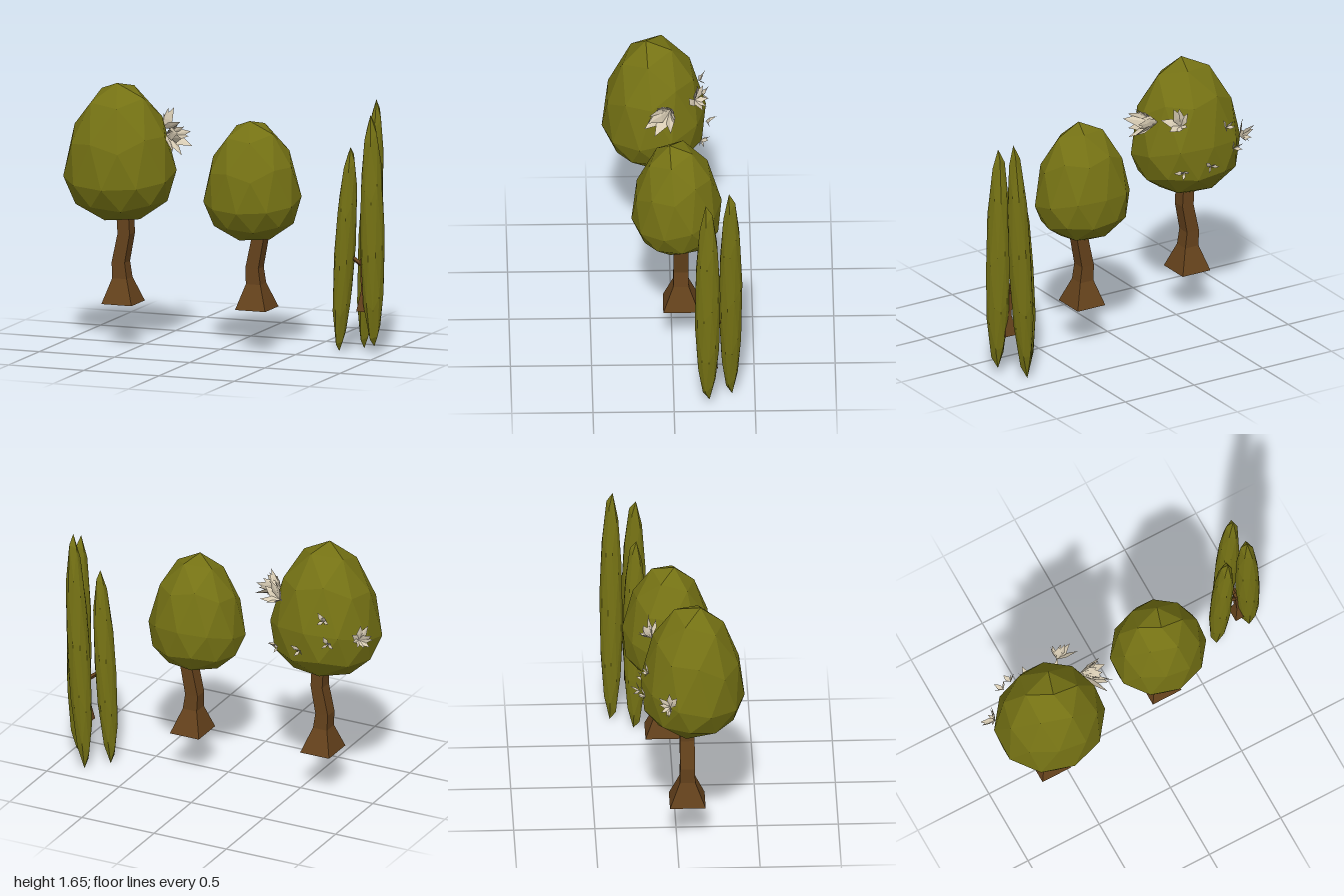
import * as THREE from 'three';

const mat = (color) => new THREE.MeshStandardMaterial({ color, flatShading: true, roughness: 1, side: THREE.DoubleSide });
const foliage = mat(0x757214), bark = mat(0x65421c), pale = mat(0xd8ccb4);

function add(parent, name, geometry, material) {
  const mesh = new THREE.Mesh(geometry, material);
  mesh.name = name;
  parent.add(mesh);
  return mesh;
}

// Faceted egg: an icosphere with separate upper and lower heights, tapered upwards, sheared along x
function egg({ x, z, rx, rz, bottom, mid, top, lean = 0, tilt = 0.17, taper = 0.08 }) {
  const g = new THREE.IcosahedronGeometry(1, 1);
  g.rotateZ(Math.atan(2 / (1 + Math.sqrt(5)))); // one corner straight up
  g.rotateY(-Math.PI / 2 - 0.3);
  g.rotateX(tilt);
  const p = g.attributes.position;
  for (let i = 0; i < p.count; i++) {
    const t = p.getY(i), s = 1 - taper * Math.max(t, 0);
    p.setXYZ(i, x + p.getX(i) * rx * s + lean * t, mid + t * (t > 0 ? top - mid : mid - bottom), z + p.getZ(i) * rz * s);
  }
  g.computeVertexNormals();
  return g;
}

// Four-sided trunk through sections [y, centre x, half width, half depth], lowest first
function trunk(sections, x, z) {
  const n = sections.length - 1;
  const g = new THREE.CylinderGeometry(Math.SQRT2, Math.SQRT2, 1, 4, n);
  g.rotateY(Math.PI / 4);
  const p = g.attributes.position;
  for (let i = 0; i < p.count; i++) {
    const [y, cx, w, d] = sections[Math.round((p.getY(i) + 0.5) * n)];
    p.setXYZ(i, x + cx + p.getX(i) * w, y, z + p.getZ(i) * d);
  }
  g.computeVertexNormals();
  return g;
}

// Tuft of flat pointed leaves fanning out around a direction
function tuft(parent, at, dir, count, length, spread) {
  const group = new THREE.Group();
  group.name = 'leafTuft';
  group.position.set(...at);
  group.quaternion.setFromUnitVectors(new THREE.Vector3(0, 1, 0), new THREE.Vector3(...dir).normalize());
  for (let i = 0; i < count; i++) {
    const len = length * (0.8 + 0.2 * Math.cos(i * 2.3));
    const g = new THREE.OctahedronGeometry(1);
    g.scale(len * 0.2, len / 2, len * 0.04);
    g.translate(0, len * 0.42, 0);
    const leaf = add(group, 'leaf', g, pale);
    leaf.rotation.set(spread * (0.4 + 0.6 * ((i * 0.618) % 1)), i * 2.4, 0, 'YXZ');
  }
  parent.add(group);
}

export function createModel() {
  const model = new THREE.Group();

  // Two round trees share a bent trunk and an egg-shaped crown
  const bent = [
    [0.275, 0, 0.1, 0.11], [0.43, -0.005, 0.048, 0.048], [0.53, -0.015, 0.043, 0.045],
    [0.71, 0.021, 0.04, 0.045], [0.9, 0.01, 0.04, 0.045],
  ];
  const big = new THREE.Group();
  big.name = 'largeRoundTree';
  add(big, 'trunk', trunk(bent, -0.62, 0.065), bark);
  add(big, 'crown', egg({ x: -0.628, z: 0.095, rx: 0.354, rz: 0.328, bottom: 0.785, mid: 1.08, top: 1.668 }), foliage);

  const small = new THREE.Group();
  small.name = 'smallRoundTree';
  add(small, 'trunk', trunk(bent, 0.22, -0.055), bark);
  add(small, 'crown', egg({ x: 0.202, z: -0.03, rx: 0.307, rz: 0.284, bottom: 0.695, mid: 0.955, top: 1.463 }), foliage);

  // Pale leaf tufts on the sides and back of the large crown
  tuft(big, [-0.36, 1.33, 0], [1, 0.2, 0.45], 11, 0.23, 0.8);
  tuft(big, [-0.44, 1.34, -0.15], [0.4, 0.7, -0.5], 7, 0.16, 1.1);
  tuft(big, [-0.93, 1.13, -0.05], [-0.7, 0.2, -0.5], 9, 0.12, 1.3);
  tuft(big, [-0.75, 1.27, -0.18], [-0.3, 0.3, -0.8], 4, 0.08, 1.3);
  tuft(big, [-0.79, 1.13, -0.2], [-0.4, 0.1, -0.8], 4, 0.08, 1.3);
  tuft(big, [-0.61, 1.06, -0.225], [0, 0, -1], 4, 0.08, 1.3);
  tuft(big, [-0.44, 1.04, -0.19], [0.5, 0, -0.8], 4, 0.08, 1.3);

  // Slender tree: three tall lobes on a thin branching trunk
  const slender = new THREE.Group();
  slender.name = 'slenderTree';
  const lobes = [
    { x: 0.744, z: -0.208, rx: 0.064, rz: 0.075, bottom: 0.005, mid: 0.65, top: 1.305, lean: 0.042 },
    { x: 0.855, z: -0.35, rx: 0.071, rz: 0.073, bottom: 0.005, mid: 0.75, top: 1.59, lean: 0.045 },
    { x: 0.927, z: -0.207, rx: 0.076, rz: 0.08, bottom: 0.05, mid: 0.72, top: 1.515, lean: -0.008 },
  ];
  const stem = [[0.275, 0, 0.042, 0.045], [0.4, 0, 0.02, 0.02], [0.6, -0.015, 0.014, 0.014]];
  add(slender, 'trunk', trunk(stem, 0.872, -0.225), bark);
  for (const lobe of lobes) {
    add(slender, 'lobe', egg({ ...lobe, tilt: 0.15, taper: 0 }), foliage);
    const path = new THREE.LineCurve3(new THREE.Vector3(0.865, 0.55, -0.225), new THREE.Vector3(lobe.x, 0.64, lobe.z));
    add(slender, 'branch', new THREE.TubeGeometry(path, 1, 0.014, 4), bark);
  }

  model.add(big, small, slender);
  return model;
}
